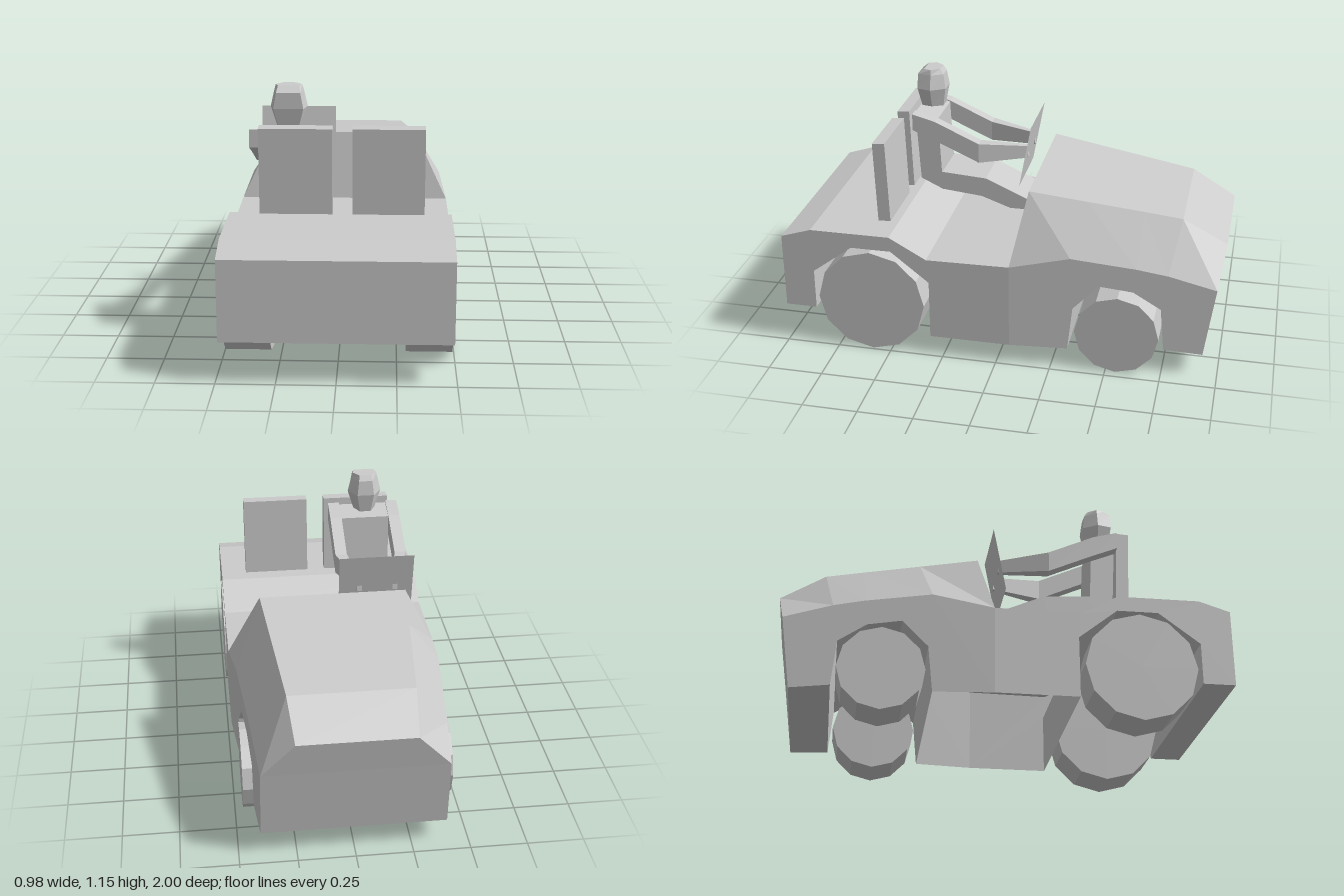
import * as THREE from 'three';

const material = new THREE.MeshStandardMaterial({ color: 0xcccccc, flatShading: true, side: THREE.DoubleSide });

function meshFrom(name, triangles) {
  const geometry = new THREE.BufferGeometry();
  geometry.setAttribute('position', new THREE.Float32BufferAttribute(triangles.flat(2), 3));
  geometry.computeVertexNormals();
  const mesh = new THREE.Mesh(geometry, material);
  mesh.name = name;
  return mesh;
}

// Side profile of [z, y] points spanning left(z)..right(z) in x; skipped edges stay open
function slab(name, profile, left, right, skip = []) {
  const L = profile.map(([z, y]) => [left(z), y, z]);
  const R = profile.map(([z, y]) => [right(z), y, z]);
  const tris = [];
  const points = profile.map(([z, y]) => new THREE.Vector2(z, y));
  for (const [a, b, c] of THREE.ShapeUtils.triangulateShape(points, [])) {
    tris.push([L[a], L[b], L[c]], [R[a], R[c], R[b]]);
  }
  profile.forEach((_, i) => {
    if (skip.includes(i)) return;
    const j = (i + 1) % profile.length;
    tris.push([L[i], R[i], R[j]], [L[i], R[j], L[j]]);
  });
  return meshFrom(name, tris);
}

// Closed rings of points joined in order, with both ends capped
function loft(name, rings) {
  const tris = [];
  const n = rings[0].length;
  for (let r = 0; r < rings.length - 1; r++) {
    const a = rings[r], b = rings[r + 1];
    for (let i = 0; i < n; i++) {
      const j = (i + 1) % n;
      tris.push([a[i], a[j], b[j]], [a[i], b[j], b[i]]);
    }
  }
  const first = rings[0], last = rings[rings.length - 1];
  for (let i = 1; i < n - 1; i++) {
    tris.push([first[0], first[i + 1], first[i]], [last[0], last[i], last[i + 1]]);
  }
  return meshFrom(name, tris);
}

const lerp = THREE.MathUtils.lerp;
const constant = (x) => () => x;

function createBody() {
  const group = new THREE.Group();
  group.name = 'body';
  // Half width narrows towards the nose
  const half = (z) => (z > -0.06 ? 0.485 : lerp(0.485, 0.4, (-0.06 - z) / 0.915));
  const minus = (z) => -half(z);

  // Rear deck with wheel arch, open underneath between the wheels
  group.add(slab('rearBody', [
    [-0.06, 0.1], [0.31, 0.1], [0.31, 0.38], [0.485, 0.52], [0.67, 0.52], [0.855, 0.38], [0.855, 0.19],
    [1, 0.19], [1, 0.545], [0.86, 0.59], [0.49, 0.59], [0.32, 0.495], [-0.06, 0.5],
  ], minus, half, [0, 12]));

  // Lower nose with wheel arch
  const belt = [[-0.06, 0.5], [-0.33, 0.56], [-0.62, 0.525], [-0.76, 0.5], [-0.975, 0.44]];
  group.add(slab('frontBody', [
    [-0.93, 0.11], [-0.755, 0.125], [-0.735, 0.33], [-0.61, 0.41], [-0.46, 0.43], [-0.345, 0.31],
    [-0.325, 0.1], [-0.06, 0.1], ...belt,
  ], minus, half, [6, 7, 8, 9, 10, 11]));

  // Sloping hood rising from the belt line
  const crest = [[-0.12, 0.81], [-0.38, 0.773], [-0.63, 0.738], [-0.8, 0.713], [-1, 0.6]];
  group.add(loft('hood', belt.map(([z, y], i) => {
    const [tz, ty] = crest[i];
    const w = half(z), t = lerp(0.335, 0.255, (-0.12 - tz) / 0.88);
    return [[-w, y, z], [-t, ty, tz], [t, ty, tz], [w, y, z]];
  })));
  return group;
}

function createDriver() {
  const group = new THREE.Group();
  group.name = 'driver';
  const cx = -0.22;

  // Torso and lap
  group.add(slab('torso', [[0.395, 0.62], [0.5, 0.62], [0.52, 0.96], [0.41, 0.935]],
    constant(-0.335), constant(-0.105)));
  group.add(slab('legs', [
    [-0.06, 0.5], [0.06, 0.5], [0.2, 0.55], [0.395, 0.57], [0.5, 0.62], [0.395, 0.66], [0.18, 0.645], [-0.06, 0.54],
  ], constant(-0.335), constant(-0.105)));

  // Arms, closing in towards the hands
  const outer = (z) => (z >= 0.2 ? 0.17 : lerp(0.17, 0.097, (0.2 - z) / 0.22));
  const inner = (z) => (z >= 0.2 ? 0.115 : lerp(0.115, 0.073, (0.2 - z) / 0.22));
  for (const side of [-1, 1]) {
    const edges = [(z) => cx + side * outer(z), (z) => cx + side * inner(z)];
    if (side > 0) edges.reverse();
    group.add(slab('upperArm', [[0.2, 0.75], [0.4, 0.84], [0.52, 0.89], [0.52, 0.97], [0.41, 0.94], [0.2, 0.845]], ...edges));
    group.add(slab('forearm', [[-0.025, 0.765], [0.2, 0.75], [0.2, 0.845], [-0.02, 0.825]], ...edges));
  }

  // Faceted head: height, half width, front z, back z
  const rings = [[0.97, 0.052, 0.405, 0.505], [1.06, 0.08, 0.39, 0.52], [1.13, 0.064, 0.4, 0.52], [1.155, 0.057, 0.415, 0.49]];
  group.add(loft('head', rings.map(([y, w, front, back]) => [
    [w, 0.455, 0], [w * 0.5, front, 0], [-w * 0.5, front, 0], [-w, 0.455, 0], [-w * 0.8, back, 0], [w * 0.8, back, 0],
  ].map(([x, z]) => [cx + x, y, z]))));
  return group;
}

export function createModel() {
  const model = new THREE.Group();
  model.name = 'vehicle';
  model.add(createBody(), createDriver());

  // Slightly reclined seat backs
  for (const [x0, x1] of [[-0.345, -0.03], [0.055, 0.365]]) {
    model.add(slab('seatBack', [[0.515, 0.612], [0.572, 0.61], [0.585, 0.988], [0.528, 0.992]], constant(x0), constant(x1)));
  }

  // Thin panel in front of the driver
  const a = [-0.385, 0.65, 0.003], b = [-0.04, 0.65, 0.003], c = [-0.04, 0.95, -0.052], d = [-0.385, 0.95, -0.052];
  model.add(meshFrom('steeringPanel', [[a, b, c], [a, c, d]]));

  // Twelve-sided wheels
  for (const [name, z, y, r, x] of [['rearWheel', 0.585, 0.255, 0.25, 0.39], ['frontWheel', -0.545, 0.197, 0.19, 0.365]]) {
    for (const side of [-1, 1]) {
      const wheel = new THREE.Mesh(new THREE.CylinderGeometry(r, r, 0.2, 12), material);
      wheel.name = name;
      wheel.rotation.z = Math.PI / 2;
      wheel.position.set(side * x, y, z);
      model.add(wheel);
    }
  }
  return model;
}
